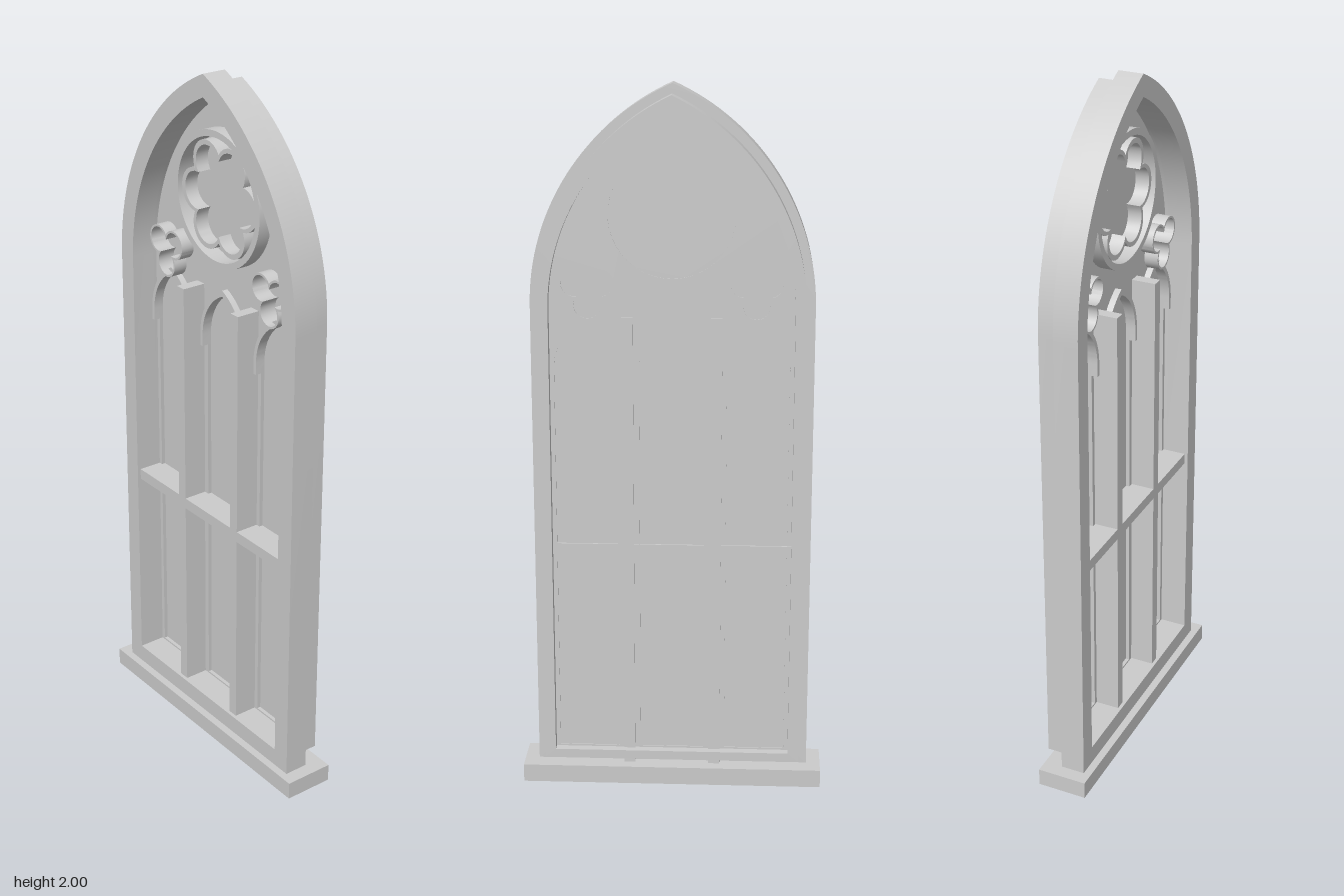
import * as THREE from 'three';
import { toCreasedNormals } from 'three/addons/utils/BufferGeometryUtils.js';

const material = new THREE.MeshStandardMaterial({ color: 0xcccccc });

// Pointed arch outline: half width w, arcs of radius r struck from the spring line
function archPoints(w, r, bottom, spring, cx = 0, n = 20) {
  const end = Math.acos((r - w) / r), right = [];
  for (let i = 0; i <= n; i++) {
    const a = (end * i) / n;
    right.push([w - r + r * Math.cos(a), spring + r * Math.sin(a)]);
  }
  right[n][0] = 0;
  const left = right.slice(0, n).reverse().map(([x, y]) => [-x, y]);
  return [[w, bottom], ...right, ...left, [-w, bottom]].map(([x, y]) => new THREE.Vector2(x + cx, y));
}

// The main arches are concentric, so each is fixed by its half width
const mainArch = (w, bottom) => archPoints(w, w + 0.266, bottom, 1.4, 0, 32);

// Lancet heads share one proportion
const lancet = (cx, w, bottom = 0.105) => archPoints(w, w * 1.75, bottom, 1.235, cx);

// Foil outline: union of equal lobes set around a centre
function foilPoints(cx, cy, lobes, d, rho, turn) {
  const pts = [], per = 16;
  for (let k = 0; k < lobes; k++) {
    for (let i = 0; i < per; i++) {
      const phi = (i / per - 0.5) * ((2 * Math.PI) / lobes);
      const a = turn + (k * 2 * Math.PI) / lobes + phi;
      const r = d * Math.cos(phi) + Math.sqrt(rho * rho - (d * Math.sin(phi)) ** 2);
      pts.push(new THREE.Vector2(cx + r * Math.cos(a), cy + r * Math.sin(a)));
    }
  }
  return pts;
}

function circlePoints(cx, cy, r) {
  return new THREE.Path().absarc(cx, cy, r, 0, Math.PI * 2).getPoints(64).slice(0, -1)
    .map((p) => p);
}

function circle(cx, cy, r, n = 64) {
  return Array.from({ length: n }, (_, i) => {
    const a = (i / n) * Math.PI * 2;
    return new THREE.Vector2(cx + r * Math.cos(a), cy + r * Math.sin(a));
  });
}

export function createModel() {
  const model = new THREE.Group();
  model.name = 'tracedWindow';

  const add = (name, geometry) => {
    const mesh = new THREE.Mesh(geometry, material);
    mesh.name = name;
    model.add(mesh);
    return mesh;
  };
  // Slab between two depths, with optional openings
  const slab = (name, outline, z0, z1, holes = []) => {
    const shape = new THREE.Shape(outline);
    shape.holes = holes.map((h) => new THREE.Path(h));
    const g = new THREE.ExtrudeGeometry(shape, { depth: z1 - z0, bevelEnabled: false });
    g.translate(0, 0, z0);
    return add(name, toCreasedNormals(g, 0.4));
  };
  const block = (name, x0, x1, y0, y1, z0, z1) =>
    add(name, new THREE.BoxGeometry(x1 - x0, y1 - y0, z1 - z0))
      .position.set((x0 + x1) / 2, (y0 + y1) / 2, (z0 + z1) / 2);

  // Sill and stepped frame
  block('sill', -0.43, 0.43, 0, 0.052, -0.073, 0.072);
  slab('frontFrame', mainArch(0.39, 0.05), -0.02, 0.05, [mainArch(0.335, 0.105)]);
  slab('backFrame', mainArch(0.365, 0.08), -0.075, -0.02, [mainArch(0.335, 0.105)]);

  // Tracery plate pierced by lancets, rose and trefoils
  const roseY = 1.655, trefoilX = 0.23, trefoilY = 1.45;
  const bays = [[-0.237, 0.086], [0, 0.09], [0.237, 0.086]];
  const trefoil = (s, rho) => foilPoints(s * trefoilX, trefoilY, 3, 0.04, rho, -Math.PI / 2);
  slab('traceryPlate', mainArch(0.337, 0.1), -0.05, -0.03, [
    ...bays.map(([cx, w]) => lancet(cx, w, 0.11)),
    circle(0, roseY, 0.172),
    trefoil(-1, 0.0375), trefoil(1, 0.0375),
  ]);

  // Lancet panes and their arch mouldings
  for (const [cx, w] of bays) {
    slab('lancetPane', lancet(cx, w + 0.002, 0.108), -0.047, -0.041);
    const outer = lancet(cx, w + 0.011, 1.2), inner = lancet(cx, w, 1.2);
    slab('lancetMoulding', [...outer, ...inner.reverse()], -0.04, -0.012);
  }

  // Rose: round rim, six-lobed rim and backing disc
  slab('roseRing', circle(0, roseY, 0.188), -0.047, 0.01, [circle(0, roseY, 0.17)]);
  slab('roseFoil', foilPoints(0, roseY, 6, 0.103, 0.061, 0), -0.042, 0.0,
    [foilPoints(0, roseY, 6, 0.097, 0.0525, 0)]);
  slab('rosePane', circle(0, roseY, 0.172), -0.048, -0.04);

  // Trefoils, mullions
  for (const s of [-1, 1]) {
    slab('trefoilRim', trefoil(s, 0.0415), -0.045, 0.01, [trefoil(s, 0.0355)]);
    slab('trefoilPane', trefoil(s, 0.0375), -0.047, -0.041);
    block('mullion', s * 0.122 - 0.016, s * 0.122 + 0.016, 0.06, 1.377, -0.055, 0.04);
  }

  // Crossbar
  block('transom', -0.336, 0.336, 0.695, 0.727, -0.052, 0.04);
  return model;
}
